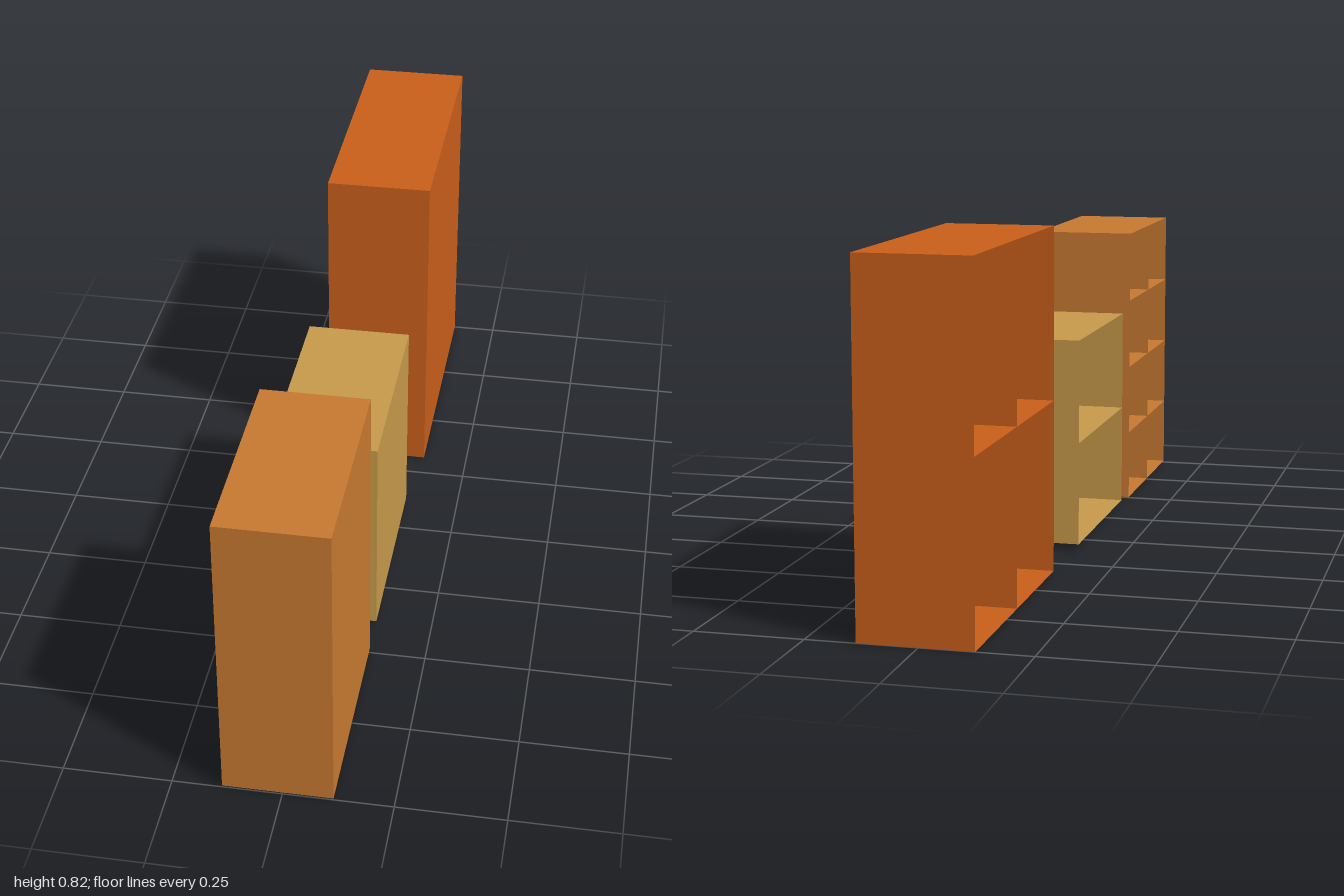
import * as THREE from 'three';

// Thin panel centred at a position, lying across the given axis
function panel(name, axis, a, b, position, material) {
  const geometry = new THREE.PlaneGeometry(a, b);
  if (axis === 'x') geometry.rotateY(Math.PI / 2);
  if (axis === 'y') geometry.rotateX(-Math.PI / 2);
  const mesh = new THREE.Mesh(geometry, material);
  mesh.name = name;
  mesh.position.set(...position);
  return mesh;
}

// Shelf unit with a closed back at +x and open compartments towards -x
function shelfUnit({ name, color, x, y, z, columns, rows }) {
  const unit = new THREE.Group();
  unit.name = name;
  const material = new THREE.MeshStandardMaterial({ color, side: THREE.DoubleSide });
  const [depth, height, width] = [x, y, z].map(([lo, hi]) => hi - lo);
  const [cx, cy, cz] = [x, y, z].map(([lo, hi]) => (lo + hi) / 2);

  unit.add(panel('backPanel', 'x', width, height, [x[1], cy, cz], material));

  // Bottom, shelves and top
  for (let i = 0; i <= rows; i++) {
    const part = i === 0 ? 'bottomPanel' : i === rows ? 'topPanel' : 'shelf';
    unit.add(panel(part, 'y', depth, width, [cx, y[0] + (height * i) / rows, cz], material));
  }

  // Side walls and upright dividers
  for (let i = 0; i <= columns; i++) {
    const part = i === 0 || i === columns ? 'sidePanel' : 'divider';
    unit.add(panel(part, 'z', depth, height, [cx, cy, z[0] + (width * i) / columns], material));
  }
  return unit;
}

export function createModel() {
  const model = new THREE.Group();
  model.name = 'shelfUnits';
  const units = [
    { name: 'largeShelfUnit', color: 0xc95f1a, x: [-0.123, 0.136], y: [0, 0.818], z: [-1, -0.32], columns: 2, rows: 2 },
    { name: 'lowShelfUnit', color: 0xc79a4b, x: [-0.135, 0.117], y: [0.015, 0.521], z: [-0.111, 0.4], columns: 1, rows: 2 },
    { name: 'narrowShelfUnit', color: 0xc87931, x: [-0.136, 0.115], y: [0.004, 0.725], z: [0.49, 1], columns: 2, rows: 4 },
  ];
  for (const unit of units) model.add(shelfUnit(unit));
  return model;
}
